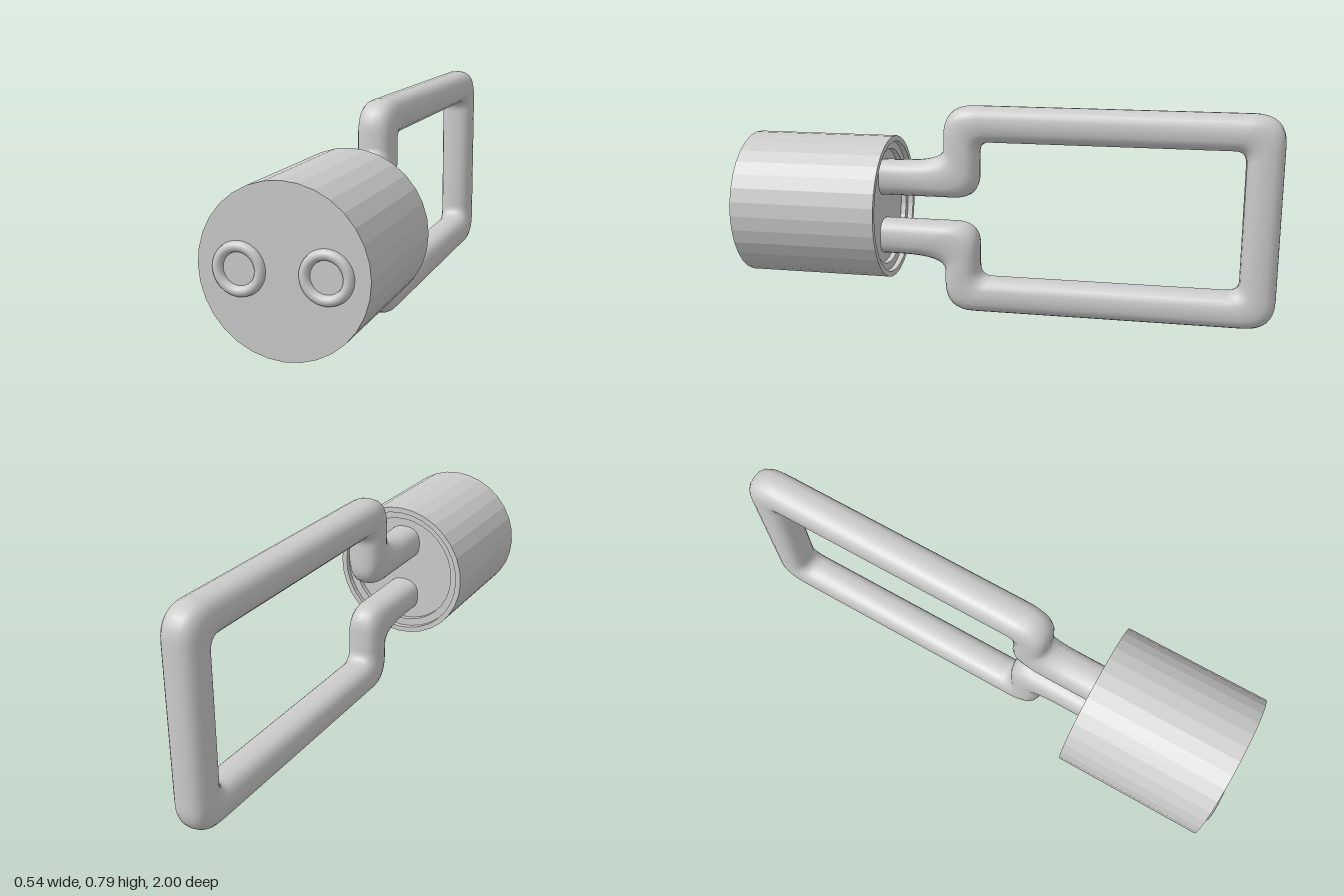
import * as THREE from 'three';

const CY = 0.398;      // height of the shared axis
const R = 0.067;       // half thickness of the handle bar

const smooth = new THREE.MeshStandardMaterial({ color: 0xcccccc, side: THREE.DoubleSide });
const faceted = new THREE.MeshStandardMaterial({ color: 0xcccccc, flatShading: true });

// Bar swept along a polyline in the z-y plane. Every lengthwise line of the bar gets
// its own corner rounding, blended between the two sides of the bend.
// corner: { z, y, neg: [before, after], pos: [before, after] } = rounding lengths per side
function sweepBar(path, sides = 20, steps = 8) {
  const pts = path.map(p => new THREE.Vector2(p.z, p.y));
  const dirs = pts.slice(1).map((p, i) => p.clone().sub(pts[i]).normalize());
  const left = d => new THREE.Vector2(-d.y, d.x);
  const power = v => Math.sign(v) * Math.abs(v) ** 0.8;   // slightly squared circle
  const lines = [];
  for (let j = 0; j < sides; j++) {
    const a = j / sides * Math.PI * 2;
    const u = power(Math.cos(a)) * R, x = power(Math.sin(a)) * R, s = (u / R + 1) / 2;
    const line = [];
    pts.forEach((p, i) => {
      const d1 = dirs[Math.max(i - 1, 0)], d2 = dirs[Math.min(i, dirs.length - 1)];
      const c = p.clone().addScaledVector(left(d1), u);
      if (i === 0 || i === pts.length - 1) { line.push([x, c.y, c.x]); return; }
      c.addScaledVector(left(d2), u);
      const { neg, pos } = path[i];
      const from = c.clone().addScaledVector(d1, -THREE.MathUtils.lerp(neg[0], pos[0], s));
      const to = c.clone().addScaledVector(d2, THREE.MathUtils.lerp(neg[1], pos[1], s));
      const bend = new THREE.QuadraticBezierCurve(from, c, to);
      bend.getPoints(steps).forEach(q => line.push([x, q.y, q.x]));
    });
    lines.push(line);
  }
  const rows = lines[0].length, position = [], index = [];
  for (let i = 0; i < rows; i++) {
    for (let j = 0; j < sides; j++) {
      position.push(...lines[j][i]);
      if (i === rows - 1) continue;
      const k = (j + 1) % sides;
      const a = i * sides + j, b = i * sides + k, c = a + sides, d = b + sides;
      index.push(a, c, b, b, c, d);
    }
  }
  const geometry = new THREE.BufferGeometry();
  geometry.setAttribute('position', new THREE.Float32BufferAttribute(position, 3));
  geometry.setIndex(index);
  geometry.computeVertexNormals();
  return geometry;
}

export function createModel() {
  const model = new THREE.Group();
  const add = (name, geometry, material, x = 0, y = 0, z = 0) => {
    const mesh = new THREE.Mesh(geometry, material);
    mesh.name = name;
    mesh.position.set(x, y, z);
    model.add(mesh);
  };

  // Cylindrical head with a stepped recess in its back
  const profile = [[0, 0.475], [0.22, 0.475], [0.22, 0.455], [0.25, 0.455],
    [0.25, 0.435], [0.271, 0.435], [0.271, 0.983], [0, 0.983]];
  const head = new THREE.LatheGeometry(profile.map(p => new THREE.Vector2(...p)), 32);
  head.rotateX(Math.PI / 2);
  add('head', head, faceted, 0, CY, 0);

  // Two rings on the front face
  for (const side of [1, -1]) {
    add(side > 0 ? 'leftRing' : 'rightRing',
      new THREE.TorusGeometry(0.068, 0.017, 12, 40), smooth, side * 0.137, CY, 0.983);
  }

  // Looped handle: two arms step outwards and join into a rectangular frame
  const arm = 0.115, frame = 0.329, jog = 0.167, back = -0.933;
  const tight = [0.045, 0.045], round = [0.11, 0.11], wide = [0.09, 0.09];
  add('handle', sweepBar([
    { z: 0.5, y: CY + arm },
    { z: jog, y: CY + arm, neg: [0.18, 0.055], pos: wide },
    { z: jog, y: CY + frame, neg: round, pos: tight },
    { z: back, y: CY + frame, neg: round, pos: tight },
    { z: back, y: CY - frame, neg: round, pos: tight },
    { z: jog, y: CY - frame, neg: round, pos: tight },
    { z: jog, y: CY - arm, neg: [0.055, 0.18], pos: wide },
    { z: 0.5, y: CY - arm },
  ]), smooth);

  return model;
}
